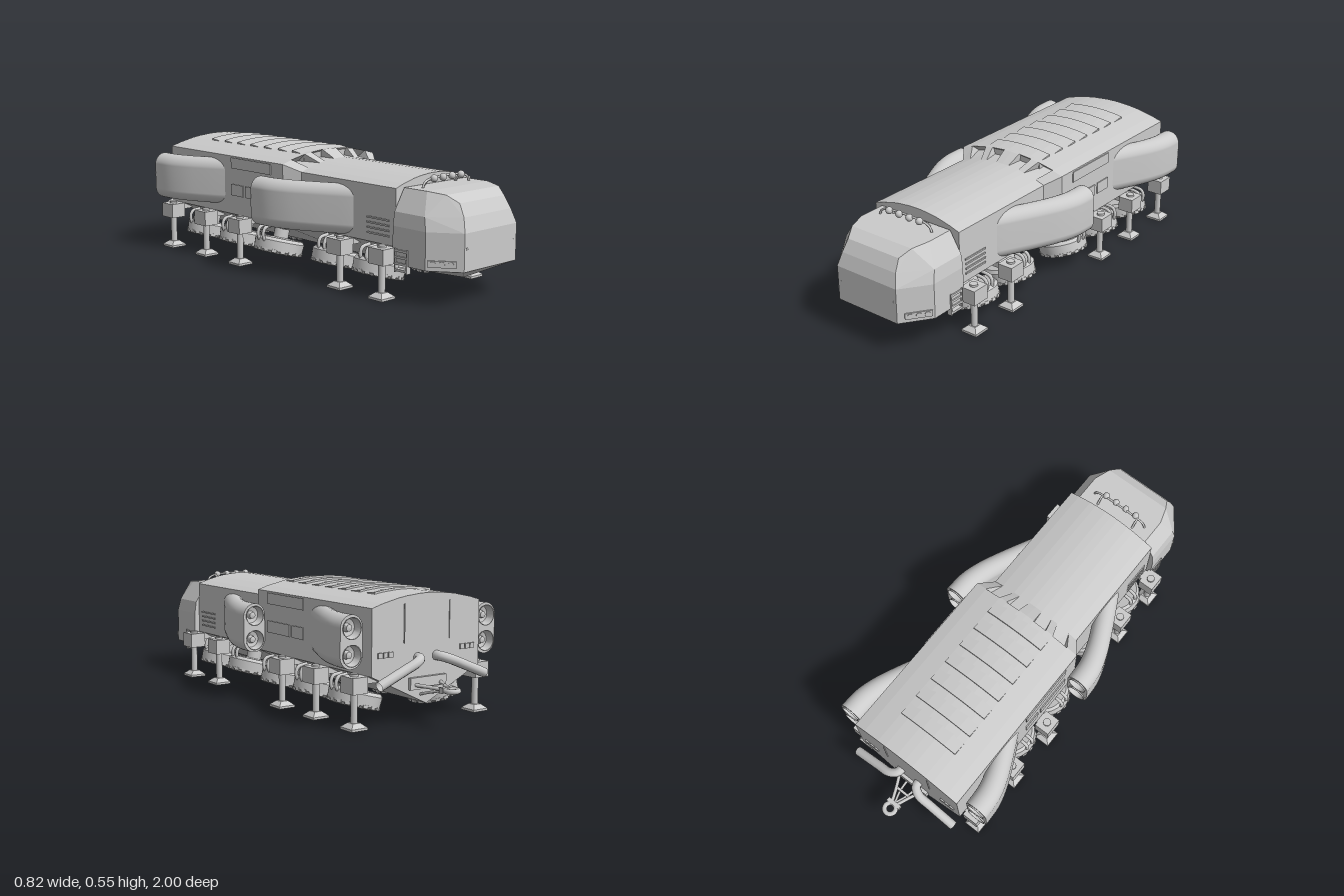
import * as THREE from 'three';
import { toCreasedNormals } from 'three/addons/utils/BufferGeometryUtils.js';
import { ConvexGeometry } from 'three/addons/geometries/ConvexGeometry.js';

const V = (x, y, z) => new THREE.Vector3(x, y, z);
const flat = new THREE.MeshStandardMaterial({ color: 0xcccccc, flatShading: true });
const smooth = new THREE.MeshStandardMaterial({ color: 0xcccccc });
const thin = new THREE.MeshStandardMaterial({ color: 0xcccccc, side: THREE.DoubleSide });

function add(parent, name, geo, mat, x = 0, y = 0, z = 0) {
  const m = new THREE.Mesh(geo, mat);
  m.name = name;
  m.position.set(x, y, z);
  parent.add(m);
  return m;
}
const box = (p, name, w, h, d, x, y, z) => add(p, name, new THREE.BoxGeometry(w, h, d), flat, x, y, z);
const tube = (p, name, pts, r, n = 16) =>
  add(p, name, new THREE.TubeGeometry(new THREE.CatmullRomCurve3(pts), n, r, 10), thin);

// skin through closed rings, listed front to back and counter-clockwise from the front
function loft(rings, caps) {
  const n = rings[0].length, pos = [], idx = [];
  rings.forEach(r => r.forEach(p => pos.push(p.x, p.y, p.z)));
  for (let i = 0; i < rings.length - 1; i++)
    for (let j = 0; j < n; j++) {
      const a = i * n + j, b = i * n + (j + 1) % n;
      idx.push(a, a + n, b, b, a + n, b + n);
    }
  if (caps) [rings[0], rings[rings.length - 1]].forEach((r, e) => {
    const base = pos.length / 3;
    r.forEach(p => pos.push(p.x, p.y, p.z));
    pos.push(0, 0.3, r[0].z);
    for (let j = 0; j < n; j++) {
      const k = base + (j + 1) % n;
      idx.push(base + n, e ? k : base + j, e ? base + j : k);
    }
  });
  const g = new THREE.BufferGeometry();
  g.setAttribute('position', new THREE.Float32BufferAttribute(pos, 3));
  g.setIndex(idx);
  g.computeVertexNormals();
  return g;
}

const FRONT = { w: 0.233, top: 0.503, side: 0.46 }, REAR = { w: 0.284, top: 0.538, side: 0.492 };
const roofY = (s, u) => s.top - (s.top - s.side) * u * u;

// hull ring; the u values hold the edges of the roof intakes
function hullRing(s, z, notch) {
  const us = [1, 0.81, 0.809, 0.531, 0.53, 0.39, 0.389, 0.151, 0.15, 0];
  const half = [V(s.w, 0.217, z), ...us.map((u, i) => {
    const cut = notch && [2, 3, 6, 7].includes(i);
    return cut ? V(s.w * u, roofY(FRONT, u), z - 0.045) : V(s.w * u, roofY(s, u), z);
  })];
  const left = half.slice(0, -1).reverse().map(p => V(-p.x, p.y, p.z));
  return [V(0, 0.08, z), ...half, ...left];
}

function makeHull(g) {
  add(g, 'hull', loft([hullRing(FRONT, 0.69), hullRing(FRONT, 0.11), hullRing(REAR, 0.042, true),
    hullRing(REAR, 0.04), hullRing(REAR, -0.805)], true), flat);
  // stepped roof louvres, each rising to the rear
  for (let k = 0; k < 7; k++) {
    const z = 0.05 - k * 0.1;
    const ring = (zz, h) => {
      const xs = [-0.15, -0.09, -0.03, 0.03, 0.09, 0.15];
      const low = xs.map(x => V(x, 0.49, zz));
      return [...low, ...xs.reverse().map(x => V(x, roofY(REAR, x / REAR.w) + h, zz))];
    };
    add(g, 'roofLouvre', loft([ring(z - 0.02, -0.002), ring(z - 0.098, 0.009)], true), flat);
  }
  for (const s of [-1, 1]) {
    for (let k = 0; k < 4; k++) box(g, 'sideVent', 0.008, 0.007, 0.13, s * 0.234, 0.255 + k * 0.022, 0.59);
    [[0.285, 0.05, 0.46, -0.183], [0.18, 0.053, 0.333, -0.13], [0.085, 0.053, 0.333, -0.283]]
      .forEach(([l, h, y, z]) => box(g, 'sidePanel', 0.01, h, l, s * REAR.w, y, z));
    for (let k = 0; k < 3; k++) box(g, 'tailLight', 0.022, 0.022, 0.01, s * (0.19 + k * 0.027), 0.3, -0.806);
    box(g, 'rearSeam', 0.004, 0.16, 0.006, s * 0.12, 0.42, -0.806);
  }
}

function makeCab(g) {
  const pts = [V(0, 0.08, 0.695), V(0, 0.08, 0.86)];
  for (const s of [-1, 1])
    [[0.255, 0.152, 0.695], [0.255, 0.152, 0.875], [0.255, 0.31, 0.875], [0.255, 0.31, 0.695],
      [0.246, 0.368, 0.695], [0.246, 0.368, 0.86], [0.19, 0.46, 0.695], [0.19, 0.46, 0.82],
      [0.165, 0.452, 0.9], [0.14, 0.422, 0.95], [0.148, 0.37, 0.98], [0.163, 0.31, 1], [0.163, 0.152, 1]]
      .forEach(([x, y, z]) => pts.push(V(s * x, y, z)));
  add(g, 'cab', new ConvexGeometry(pts), flat);
  box(g, 'frontPanel', 0.28, 0.064, 0.006, 0, 0.263, 0.997);
  for (const s of [-1, 1]) {
    for (const y of [0.243, 0.25]) box(g, 'panelHinge', 0.01, 0.004, 0.006, s * 0.146, y, 0.998);
    // headlights set in the slanted corner
    const lamp = new THREE.Group();
    lamp.name = 'headlights';
    lamp.position.set(s * 0.216, 0.182, 0.929);
    lamp.rotation.y = s * Math.atan2(0.125, 0.092);
    g.add(lamp);
    box(lamp, 'headlightFrame', 0.115, 0.028, 0.01, 0, 0, 0);
    for (const k of [-1, 0, 1])
      add(lamp, 'headlight', new THREE.CylinderGeometry(0.012, 0.012, 0.006, 16).rotateX(Math.PI / 2), smooth, k * 0.036, 0, 0.006);
    // cab steps
    for (let k = 0; k < 4; k++) box(g, 'step', 0.022, 0.01, 0.07, s * 0.25, 0.13 + k * 0.027, 0.745);
    for (const z of [0.712, 0.778]) box(g, 'stepRail', 0.022, 0.1, 0.006, s * 0.25, 0.17, z);
    tube(g, 'lightBarStay', [V(s * 0.1, 0.455, 0.715), V(s * 0.1, 0.48, 0.735), V(s * 0.1, 0.492, 0.755)], 0.005);
  }
  // roof light bar
  tube(g, 'lightBar', [V(-0.145, 0.455, 0.755), V(-0.135, 0.478, 0.755), V(-0.105, 0.492, 0.755),
    V(0.105, 0.492, 0.755), V(0.135, 0.478, 0.755), V(0.145, 0.455, 0.755)], 0.005, 40);
  for (const x of [-0.084, -0.028, 0.028, 0.084])
    add(g, 'roofLamp', new THREE.SphereGeometry(0.016, 16, 10), smooth, x, 0.494, 0.762);
}

// engine pod sweeping out of the hull, with two stacked nozzles at the back
function makePod(parent, s, dx, dy, dz) {
  const g = new THREE.Group();
  g.name = 'enginePod';
  g.position.set(s * dx, dy, dz);
  parent.add(g);
  const path = new THREE.CatmullRomCurve3([V(0.13, 0.33, 0.52), V(0.18, 0.33, 0.44), V(0.228, 0.33, 0.35),
    V(0.278, 0.33, 0.25), V(0.322, 0.33, 0.15), V(0.347, 0.33, 0.06), V(0.352, 0.33, -0.035)]);
  const R = 0.055, rings = path.getPoints(24).map(c => {
    const ring = [];
    for (let k = 0; k < 32; k++) {
      const a = (k + 0.5) / 32 * Math.PI * 2;
      ring.push(V(s * (c.x + R * Math.cos(a)), c.y + R * Math.sin(a) + Math.sign(Math.sin(a)) * 0.055, c.z));
    }
    return s < 0 ? ring.reverse() : ring;
  });
  add(g, 'podShell', loft(rings, false), thin);
  const plate = new THREE.Shape();
  plate.absarc(0, 0.055, R, 0, Math.PI);
  plate.absarc(0, -0.055, R, Math.PI, Math.PI * 2);
  for (const k of [-1, 1]) {
    const hole = new THREE.Path();
    hole.absarc(0, k * 0.055, 0.043, 0, Math.PI * 2, true);
    plate.holes.push(hole);
    const cup = [[0.046, -0.006], [0.043, -0.006], [0.036, 0.03], [0.018, 0.035], [0.014, 0.015], [0, 0.01]]
      .map(([r, y]) => new THREE.Vector2(r, y));
    add(g, 'nozzle', toCreasedNormals(new THREE.LatheGeometry(cup, 24).rotateX(Math.PI / 2), 0.6), thin,
      s * 0.352, 0.33 + k * 0.055, -0.035);
  }
  add(g, 'podEnd', new THREE.ShapeGeometry(plate, 24), thin, s * 0.352, 0.33, -0.034);
}

function makeWheel(parent, s, x, y, z) {
  const g = new THREE.Group();
  g.name = 'wheel';
  g.position.set(s * x, y, z);
  g.rotation.z = s * 0.27;
  parent.add(g);
  const profile = [[0, -0.018], [0.02, -0.018], [0.028, 0.004], [0.045, 0.008], [0.078, -0.022], [0.082, -0.036],
    [0.1, -0.036], [0.112, -0.024], [0.115, 0.022], [0.105, 0.036], [0, 0.04]].map(p => new THREE.Vector2(...p));
  add(g, 'tyre', toCreasedNormals(new THREE.LatheGeometry(profile, 36), 0.6), smooth);
  for (let k = 0; k < 18; k++) {
    const a = k / 18 * Math.PI * 2;
    box(g, 'treadBlock', 0.012, 0.014, 0.022, Math.cos(a) * 0.108, -0.025, Math.sin(a) * 0.108).rotation.y = -a;
  }
  // spokes and axle stub
  for (let k = 0; k < 5; k++) {
    const a = k / 5 * Math.PI * 2;
    box(g, 'spoke', 0.055, 0.01, 0.01, Math.cos(a) * 0.05, -0.006, Math.sin(a) * 0.05).rotation.y = -a;
  }
  add(g, 'axle', new THREE.CylinderGeometry(0.035, 0.035, 0.05, 16), smooth, 0, 0.055, 0);
}

function makeLeg(parent, s, x, z) {
  const g = new THREE.Group();
  g.name = 'supportLeg';
  g.position.set(s * x, 0, z);
  parent.add(g);
  box(g, 'legHousing', 0.075, 0.068, 0.085, 0, 0.184, 0);
  box(g, 'legMount', 0.09, 0.03, 0.05, -s * 0.05, 0.2, 0);
  add(g, 'legStrut', new THREE.CylinderGeometry(0.015, 0.015, 0.14, 16), smooth, 0, 0.09, 0);
  add(g, 'legCap', new THREE.CylinderGeometry(0.018, 0.018, 0.012, 16), smooth, 0, 0.221, 0);
  box(g, 'footPad', 0.08, 0.01, 0.08, 0, 0.005, 0);
  add(g, 'footCone', new THREE.CylinderGeometry(0.026, 0.056, 0.018, 4).rotateY(Math.PI / 4), flat, 0, 0.019, 0);
}

function makeRear(g) {
  for (const s of [-1, 1]) {
    // exhaust pipes bending outward and down
    tube(g, 'exhaust', [V(s * 0.05, 0.275, -0.79), V(s * 0.053, 0.275, -0.825), V(s * 0.085, 0.264, -0.848),
      V(s * 0.15, 0.238, -0.85), V(s * 0.28, 0.185, -0.85)], 0.021, 28);
    tube(g, 'hitchArm', [V(s * 0.075, 0.165, -0.8), V(s * 0.04, 0.161, -0.87), V(s * 0.01, 0.157, -0.94)], 0.008);
    tube(g, 'hitchBrace', [V(s * 0.03, 0.12, -0.8), V(s * 0.02, 0.14, -0.87), V(0, 0.155, -0.93)], 0.006);
  }
  box(g, 'hitchFrame', 0.19, 0.05, 0.02, 0, 0.17, -0.81);
  box(g, 'hitchCrossbar', 0.08, 0.012, 0.012, 0, 0.161, -0.87);
  box(g, 'hitchBlock', 0.07, 0.024, 0.02, 0, 0.157, -0.935);
  add(g, 'hitchEye', new THREE.TorusGeometry(0.026, 0.011, 10, 24).rotateX(Math.PI / 2), smooth, 0, 0.157, -0.963);
}

export function createModel() {
  const g = new THREE.Group();
  g.name = 'armouredTransport';
  makeHull(g);
  makeCab(g);
  makeRear(g);
  for (const s of [-1, 1]) {
    makePod(g, s, 0, 0, 0);
    makePod(g, s, 0.004, 0.03, -0.733);
    for (const z of [0.54, 0.28, -0.075, -0.337, -0.594]) {
      const out = z > 0.1 ? 0 : 0.035, w = 0.233 + out * 1.4;
      makeWheel(g, s, 0.175 + out, 0.093, z);
      // paired suspension hoses
      for (const d of [-0.018, 0.018])
        tube(g, 'suspensionHose', [V(s * (w - 0.02), 0.2, z + d), V(s * (w + 0.025), 0.192, z + d),
          V(s * (w + 0.036), 0.165, z + d), V(s * (w + 0.025), 0.135, z + d), V(s * (w - 0.02), 0.125, z + d)], 0.008);
    }
    for (const z of [0.66, 0.41]) makeLeg(g, s, 0.281, z);
    for (const z of [-0.218, -0.477, -0.745]) makeLeg(g, s, 0.325, z);
  }
  return g;
}
